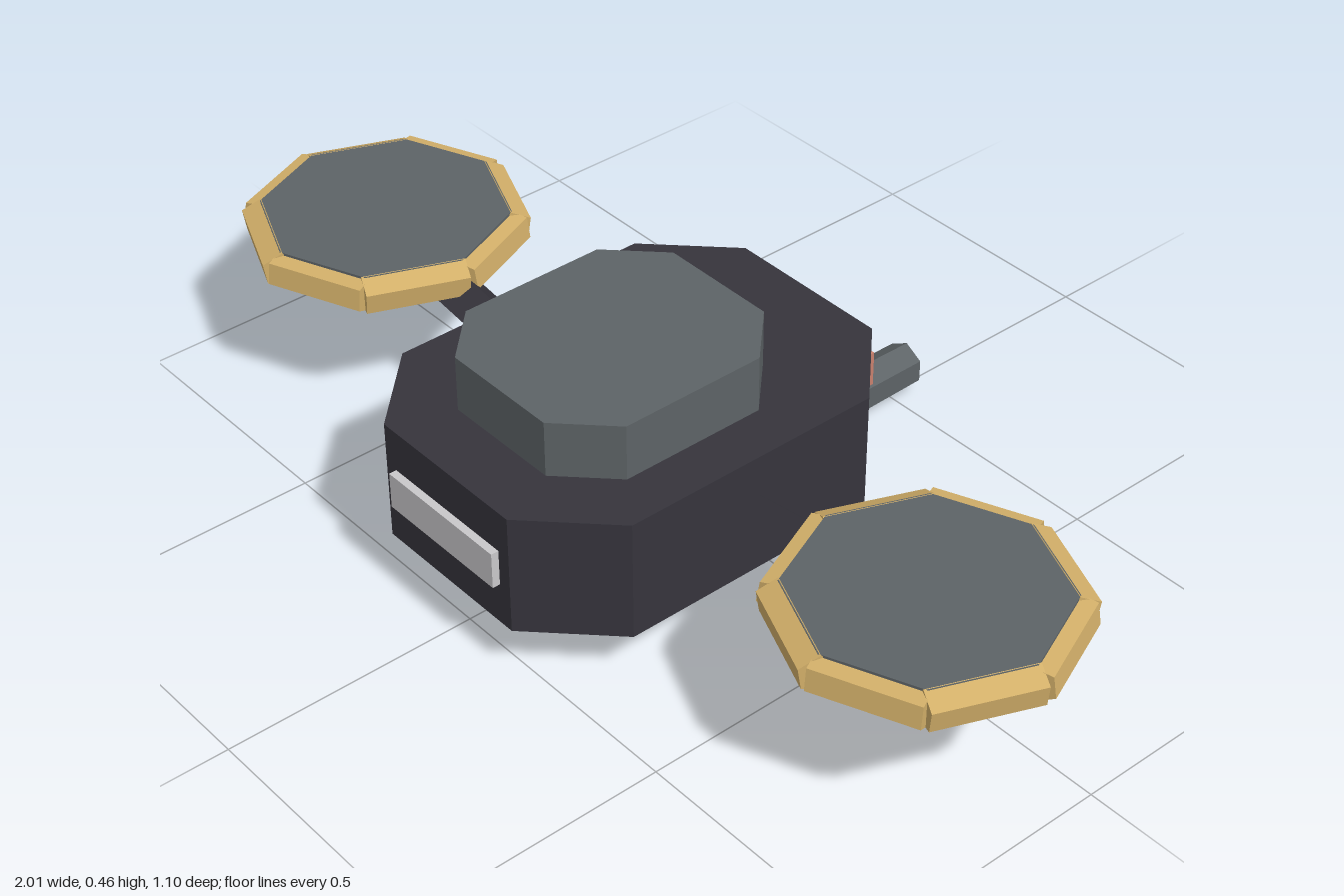
import * as THREE from 'three';

const material = (name, color) => {
  const m = new THREE.MeshStandardMaterial({ color, flatShading: true });
  m.name = name;
  return m;
};

export function createModel() {
  const dark = material('dark hull', 0x36343c);
  const grey = material('slate grey', 0x5d6366);
  const gold = material('brass', 0xd2af69);
  const copper = material('copper', 0xc9806d);
  const pale = material('pale lens', 0xc9c8ca);

  const model = new THREE.Group();
  model.name = 'drone';

  const add = (parent, name, geometry, mat, x = 0, y = 0, z = 0) => {
    const mesh = new THREE.Mesh(geometry, mat);
    mesh.name = name;
    mesh.position.set(x, y, z);
    parent.add(mesh);
    return mesh;
  };

  // Upright block with chamfered corners: half width, half depth, chamfer, height
  const chamferedBlock = (w, d, cx, cz, h) => {
    const s = new THREE.Shape([
      [w, d - cz], [w - cx, d], [cx - w, d], [-w, d - cz],
      [-w, cz - d], [cx - w, -d], [w - cx, -d], [w, cz - d],
    ].map(([x, y]) => new THREE.Vector2(x, y)));
    return new THREE.ExtrudeGeometry(s, { depth: h, bevelEnabled: false }).rotateX(-Math.PI / 2);
  };

  // Octagonal prism with a corner on each axis
  const octagon = (r, h) => new THREE.CylinderGeometry(r, r, h, 8);

  // Prism between two points, with a roll about its own axis
  const up = new THREE.Vector3(0, 1, 0);
  const rod = (parent, name, a, b, r0, r1, sides, roll, mat) => {
    const dir = b.clone().sub(a);
    const g = new THREE.CylinderGeometry(r1, r0, dir.length(), sides).rotateY(roll);
    const mesh = add(parent, name, g, mat);
    mesh.position.copy(a).add(b).multiplyScalar(0.5);
    mesh.quaternion.setFromUnitVectors(up, dir.normalize());
    return mesh;
  };

  // Hull and upper deck
  add(model, 'hull', chamferedBlock(0.314, 0.41, 0.145, 0.145, 0.24), dark, 0, 0.105, 0.125);
  add(model, 'upperDeck', chamferedBlock(0.216, 0.242, 0.096, 0.096, 0.11), grey, 0, 0.345, 0.173);

  // Front lens and rear vent
  add(model, 'frontLens', new THREE.BoxGeometry(0.284, 0.072, 0.03), pale, 0, 0.226, 0.535);
  add(model, 'rearVent', new THREE.BoxGeometry(0.33, 0.07, 0.03), copper, 0, 0.25, -0.282);

  // Belly mount and rear-pointing boom
  add(model, 'boomMount', new THREE.BoxGeometry(0.14, 0.062, 0.19), dark, 0, 0.076, 0.007);
  rod(model, 'boom', new THREE.Vector3(0, 0.053, 0.005), new THREE.Vector3(0, 0.053, -0.55),
    0.053, 0.044, 6, 0, grey);

  // Side pods
  for (const side of [1, -1]) {
    const label = side > 0 ? 'left' : 'right';

    rod(model, label + 'Arm', new THREE.Vector3(side * 0.27, 0.223, 0.125),
      new THREE.Vector3(side * 0.655, 0.279, 0.125), 0.048, 0.048, 4, 0, dark);

    const pod = new THREE.Group();
    pod.name = label + 'Pod';
    pod.position.set(side * 0.73, 0.3, 0.125);
    model.add(pod);
    add(pod, 'podDisc', octagon(0.24, 0.07), grey);
    add(pod, 'thruster', octagon(0.17, 0.03), copper, 0, -0.045);

    // Rim of eight five-sided bars, alternately flipped
    for (let i = 0; i < 8; i++) {
      const bar = new THREE.Group();
      bar.name = 'rimBar';
      bar.rotation.y = -(i + 0.5) * Math.PI / 4;
      pod.add(bar);
      const half = 0.243 * Math.sin(Math.PI / 8);
      const g = new THREE.CylinderGeometry(0.036, 0.036, half * 2 + 0.01, 5);
      g.rotateY(Math.PI / 2 - Math.PI / 5 + (i % 2 ? 1 : -1) * 0.15);
      g.rotateX(Math.PI / 2);
      add(bar, 'rimBarBody', g, gold, 0.243 * Math.cos(Math.PI / 8));
    }
  }
  return model;
}
